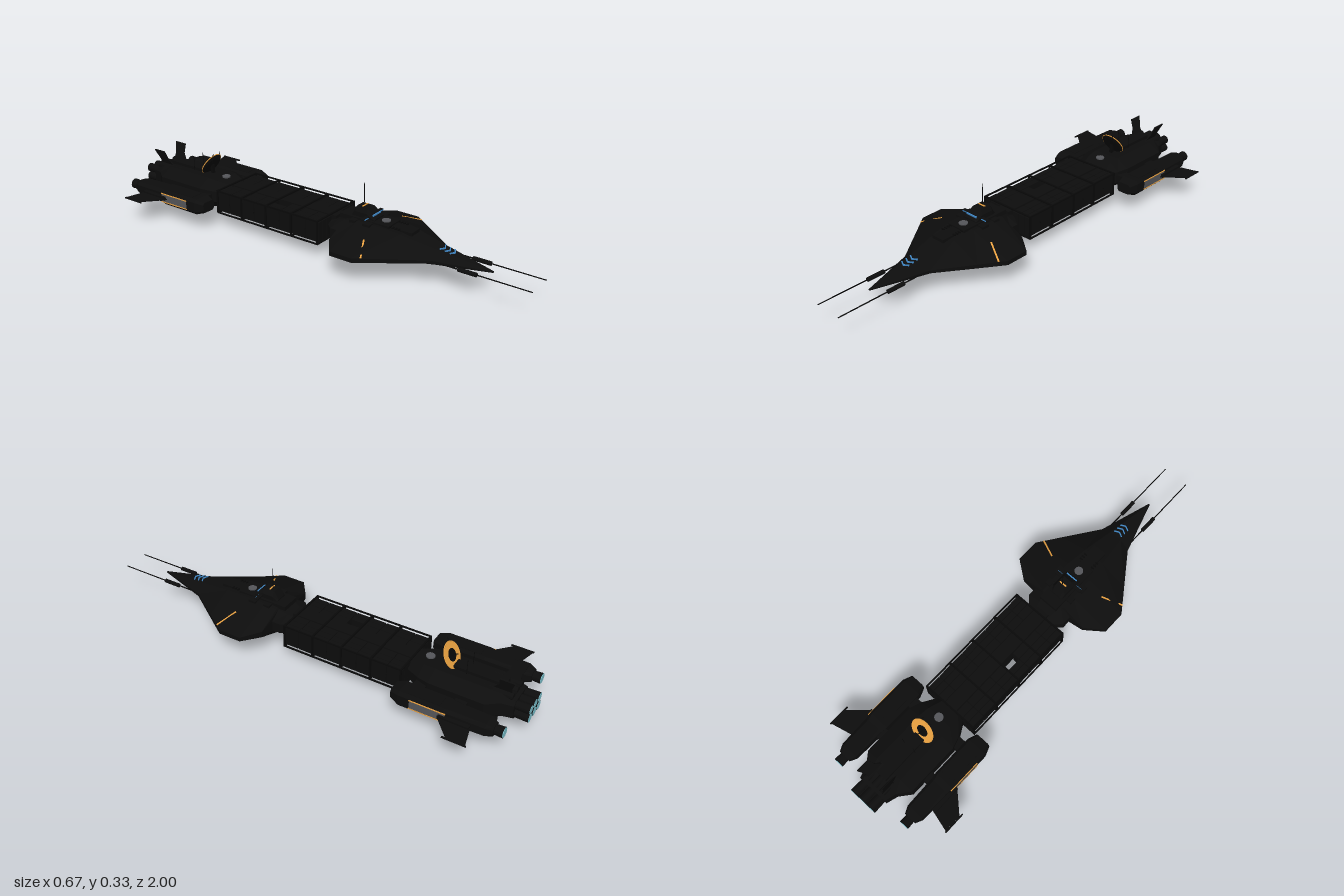
import * as THREE from 'three';

const mat = (color, extra = {}) => new THREE.MeshStandardMaterial({ color, ...extra });
const HULL = mat(0x0d0d0d, { flatShading: true });
const FRAME = mat(0x080808);
const GREY = mat(0x55565a);
const ORANGE = mat(0xe8a040);
const BLUE = mat(0x3f86c4);
const GLOW = mat(0x7fc4d0);
const V = (x, y, z) => new THREE.Vector3(x, y, z);

export function createModel() {
  const root = new THREE.Group();

  const add = (name, geo, material = HULL, x = 0, y = 0, z = 0, parent = root) => {
    const m = new THREE.Mesh(geo, material);
    m.name = name;
    m.position.set(x, y, z);
    parent.add(m);
    return m;
  };
  const box = (name, w, h, d, x, y, z, material = HULL) =>
    add(name, new THREE.BoxGeometry(w, h, d), material, x, y, z);
  // cylinder lying along z, r1 at the front end
  const tube = (name, r1, r2, len, x, y, z, material = HULL, sides = 12) =>
    add(name, new THREE.CylinderGeometry(r1, r2, len, sides).rotateX(Math.PI / 2), material, x, y, z);
  // square bar between two points
  const bar = (name, a, b, t, material = FRAME) => {
    const m = add(name, new THREE.BoxGeometry(t, t, a.distanceTo(b)), material);
    m.position.copy(a).lerp(b, 0.5);
    m.lookAt(b);
    return m;
  };

  // Eight-sided hull; each section is [z, halfWidth, deckHalfWidth, top, bottom, edgeLow, edgeHigh]
  const loft = (name, sections, cx = 0) => {
    const pos = [], idx = [], n = 8;
    for (const [z, w, t, top, bot, lo, hi] of sections)
      for (const [x, y] of [[w, lo], [w, hi], [t, top], [-t, top], [-w, hi], [-w, lo], [-t, bot], [t, bot]])
        pos.push(cx + x, y, z);
    const last = (sections.length - 1) * n;
    for (let i = 0; i < last; i += n)
      for (let j = 0; j < n; j++) {
        const a = i + j, b = i + (j + 1) % n;
        idx.push(a, a + n, b + n, a, b + n, b);
      }
    for (let j = 1; j < n - 1; j++) idx.push(0, j, j + 1, last, last + j + 1, last + j);
    const g = new THREE.BufferGeometry();
    g.setAttribute('position', new THREE.Float32BufferAttribute(pos, 3));
    g.setIndex(idx);
    const flat = g.toNonIndexed();
    flat.computeVertexNormals();
    return add(name, flat);
  };

  // Thin fin: outline in (z, span) rising from a base point along a span direction
  const fin = (name, outline, base, span, t = 0.005) => {
    const g = new THREE.ExtrudeGeometry(new THREE.Shape(outline.map(p => new THREE.Vector2(...p))),
      { depth: t, bevelEnabled: false }).translate(0, 0, -t / 2);
    const zAxis = V(0, 0, 1), up = span.clone().normalize();
    g.applyMatrix4(new THREE.Matrix4().makeBasis(zAxis, up, zAxis.clone().cross(up)));
    return add(name, g, HULL, base.x, base.y, base.z);
  };

  // Arrowhead bow
  loft('bowHull', [
    [0.81, 0.003, 0.001, 0.114, 0.107, 0.109, 0.112],
    [0.57, 0.075, 0.03, 0.152, 0.082, 0.105, 0.118],
    [0.42, 0.18, 0.05, 0.178, 0.062, 0.104, 0.121],
    [0.32, 0.25, 0.06, 0.186, 0.055, 0.104, 0.123],
    [0.215, 0.25, 0.06, 0.186, 0.055, 0.104, 0.123],
    [0.155, 0.17, 0.06, 0.178, 0.058, 0.1, 0.128],
    [0.15, 0.1, 0.05, 0.174, 0.06, 0.095, 0.14],
    [0.11, 0.1, 0.04, 0.16, 0.066, 0.095, 0.14],
    [0.06, 0.05, 0.03, 0.14, 0.08, 0.095, 0.13]]);
  box('bellyPlate', 0.12, 0.01, 0.18, 0, 0.054, 0.27);
  box('bellyHatch', 0.035, 0.004, 0.06, 0, 0.068, 0.46, GREY).rotation.x = 0.13;

  // Deck, bridge tower and mast
  box('deckBlock', 0.09, 0.02, 0.24, 0, 0.184, 0.24);
  box('foreDeckBlock', 0.06, 0.014, 0.1, 0, 0.18, 0.41);
  loft('bridgeTower', [
    [0.285, 0.036, 0.028, 0.2, 0.18, 0.185, 0.196],
    [0.262, 0.036, 0.026, 0.22, 0.18, 0.188, 0.206],
    [0.245, 0.034, 0.022, 0.236, 0.18, 0.19, 0.215],
    [0.19, 0.034, 0.022, 0.236, 0.18, 0.19, 0.215],
    [0.17, 0.03, 0.02, 0.2, 0.18, 0.185, 0.195]]);
  box('bridgeWindow', 0.056, 0.007, 0.006, 0, 0.211, 0.272, BLUE);
  box('bridgeWing', 0.144, 0.006, 0.016, 0, 0.203, 0.25);
  bar('mast', V(0, 0.23, 0.21), V(0, 0.333, 0.21), 0.0025);
  box('roofLight', 0.036, 0.003, 0.006, 0, 0.237, 0.215, ORANGE);
  for (const [z, y] of [[0.32, 0.195], [0.14, 0.178], [-0.55, 0.182]])
    add('roundHatch', new THREE.CylinderGeometry(0.019, 0.019, 0.006, 20), GREY, 0, y, z);

  // Chevrons on the nose
  for (let i = 0; i < 3; i++) {
    const z = 0.585 + i * 0.022, y = 0.1535 - (z - 0.57) * 0.16;
    for (const s of [1, -1])
      bar('noseChevron', V(0, y - 0.001, z + 0.012), V(s * 0.022, y, z), 0.005, BLUE);
  }

  for (const s of [1, -1]) {
    box('bridgeWingLight', 0.028, 0.004, 0.004, s * 0.054, 0.203, 0.258, BLUE);
    bar('wingStripe', V(s * 0.143, 0.157, 0.307), V(s * 0.228, 0.122, 0.35), 0.007, ORANGE);
    box('deckTurret', 0.03, 0.016, 0.035, s * 0.062, 0.183, 0.27);
    box('deckTurret', 0.024, 0.014, 0.03, s * 0.06, 0.183, 0.2);
    for (let i = 0; i < 5; i++) box('deckVent', 0.014, 0.005, 0.006, s * 0.032, 0.188, 0.345 + i * 0.014, FRAME);
    // Nose guns
    tube('gunHousing', 0.009, 0.009, 0.08, s * 0.06, 0.11, 0.73);
    tube('gunBarrel', 0.0022, 0.003, 0.42, s * 0.06, 0.11, 0.79, FRAME, 8);
  }

  // Cargo spine, cage and containers
  box('spine', 0.06, 0.094, 0.6, 0, 0.118, -0.21);
  for (const s of [1, -1])
    for (const y of [0.066, 0.169]) box('cageRail', 0.006, 0.006, 0.56, s * 0.132, y, -0.21, FRAME);
  for (let i = 0; i < 5; i++) {
    const z = 0.066 - i * 0.138;
    for (const y of [0.066, 0.169]) box('cageBeam', 0.27, 0.006, 0.008, 0, y, z, FRAME);
    for (const s of [1, -1]) box('cagePost', 0.006, 0.104, 0.008, s * 0.132, 0.1175, z, FRAME);
  }
  const columns = [[0.034, 0.068], [0.071, 0.098], [0.101, 0.126]];
  for (const s of [1, -1])
    for (let row = 0; row < 8; row++)
      columns.forEach(([a, b], c) => {
        if (s < 0 && row === 4 && c === 0) return; // empty bay
        box('container', b - a, 0.088, 0.0665, s * (a + b) / 2, 0.117, -0.455 + row * 0.07);
      });
  for (const z of [-0.42, -0.28, -0.14, 0])
    for (const s of [1, -1]) box('containerTie', 0.1, 0.006, 0.003, s * 0.08, 0.117, z, FRAME);

  // Engine section
  loft('sternHull', [
    [-0.48, 0.068, 0.04, 0.165, 0.075, 0.1, 0.135],
    [-0.55, 0.108, 0.06, 0.178, 0.055, 0.09, 0.145],
    [-0.6, 0.125, 0.065, 0.182, 0.046, 0.085, 0.15],
    [-0.84, 0.125, 0.065, 0.182, 0.046, 0.085, 0.15],
    [-0.89, 0.085, 0.055, 0.175, 0.065, 0.09, 0.15],
    [-0.94, 0.07, 0.055, 0.16, 0.075, 0.09, 0.145]]);
  box('sternRidge', 0.05, 0.02, 0.22, 0, 0.186, -0.77);
  for (const x of [-0.044, 0, 0.044]) {
    tube('roofDuct', 0.014, 0.016, 0.15, x, 0.168, -0.85);
    for (const y of [0.098, 0.138]) {
      tube('mainThruster', 0.017, 0.02, 0.1, x, y, -0.949, HULL, 16);
      tube('thrusterGlow', 0.0185, 0.0185, 0.003, x, y, -0.9985, GLOW, 16);
    }
  }
  for (const [x, z, w] of [[-0.032, -0.63, 0.055], [0.032, -0.63, 0.055], [-0.032, -0.74, 0.055], [0.032, -0.74, 0.055]])
    box('bellyPanel', w, 0.004, 0.095, x, 0.046, z, GREY);

  for (const s of [1, -1]) {
    // Side nacelle with vent and thruster
    loft('nacelle', [
      [-0.49, 0.034, 0.026, 0.137, 0.09, 0.1, 0.128],
      [-0.53, 0.048, 0.036, 0.147, 0.077, 0.09, 0.135],
      [-0.72, 0.048, 0.036, 0.147, 0.077, 0.09, 0.135],
      [-0.75, 0.044, 0.03, 0.145, 0.08, 0.092, 0.133],
      [-0.89, 0.04, 0.028, 0.143, 0.084, 0.095, 0.13],
      [-0.92, 0.026, 0.018, 0.135, 0.09, 0.1, 0.125]], s * 0.188);
    tube('nacelleThruster', 0.02, 0.023, 0.05, s * 0.188, 0.112, -0.93, HULL, 16);
    tube('nacelleGlow', 0.021, 0.021, 0.003, s * 0.188, 0.112, -0.9555, GLOW, 16);
    box('nacelleVent', 0.004, 0.034, 0.15, s * 0.236, 0.1125, -0.655, GREY);
    for (const y of [0.093, 0.132]) box('ventTrim', 0.006, 0.004, 0.155, s * 0.236, y, -0.655, ORANGE);
    box('nacelleRib', 0.06, 0.006, 0.14, s * 0.188, 0.146, -0.63);
    for (const z of [-0.57, -0.75]) box('nacelleStrut', 0.06, 0.036, 0.05, s * 0.13, 0.113, z);
    box('wingRoot', 0.025, 0.016, 0.13, s * 0.236, 0.114, -0.77);

    // Wing, upper fin and lower fin
    fin('wing', [[-0.69, 0], [-0.78, 0.1], [-0.86, 0.1], [-0.835, 0]], V(s * 0.228, 0.11, 0), V(s, 0, 0), 0.006);
    box('wingTip', 0.006, 0.006, 0.1, s * 0.332, 0.11, -0.815);
    fin('upperFin', [[-0.83, 0], [-0.865, 0.05], [-0.87, 0.093], [-0.932, 0.093], [-0.915, 0.04], [-0.915, 0]],
      V(s * 0.034, 0.166, 0), V(s * 0.036, 0.085, 0));
    fin('lowerFin', [[-0.79, 0], [-0.84, 0.062], [-0.88, 0.067], [-0.872, 0]],
      V(s * 0.04, 0.061, 0), V(s * 0.028, -0.061, 0), 0.004);
    bar('sternAerial', V(s * 0.03, 0.17, -0.72), V(s * 0.03, 0.25, -0.72), 0.002);
    bar('dishPin', V(s * 0.022, 0.24, -0.615), V(s * 0.022, 0.284, -0.605), 0.002);
  }

  // Tilted dish facing up and aft
  const dish = new THREE.Group();
  dish.name = 'dish';
  dish.position.set(0, 0.224, -0.64);
  dish.rotation.x = -1.04;
  root.add(dish);
  add('dishBack', new THREE.CylinderGeometry(0.056, 0.045, 0.008, 40), FRAME, 0, -0.005, 0, dish);
  add('dishRing', new THREE.RingGeometry(0.027, 0.056, 40).rotateX(-Math.PI / 2),
    mat(0xe8a040, { side: THREE.DoubleSide }), 0, 0.001, 0, dish);
  add('dishRim', new THREE.TorusGeometry(0.055, 0.0022, 8, 40).rotateX(Math.PI / 2), ORANGE, 0, 0, 0, dish);
  add('dishFeed', new THREE.CylinderGeometry(0.002, 0.003, 0.03, 8), FRAME, 0, 0.014, 0, dish);
  bar('dishMount', V(0, 0.17, -0.63), V(0, 0.222, -0.635), 0.014);

  return root;
}
